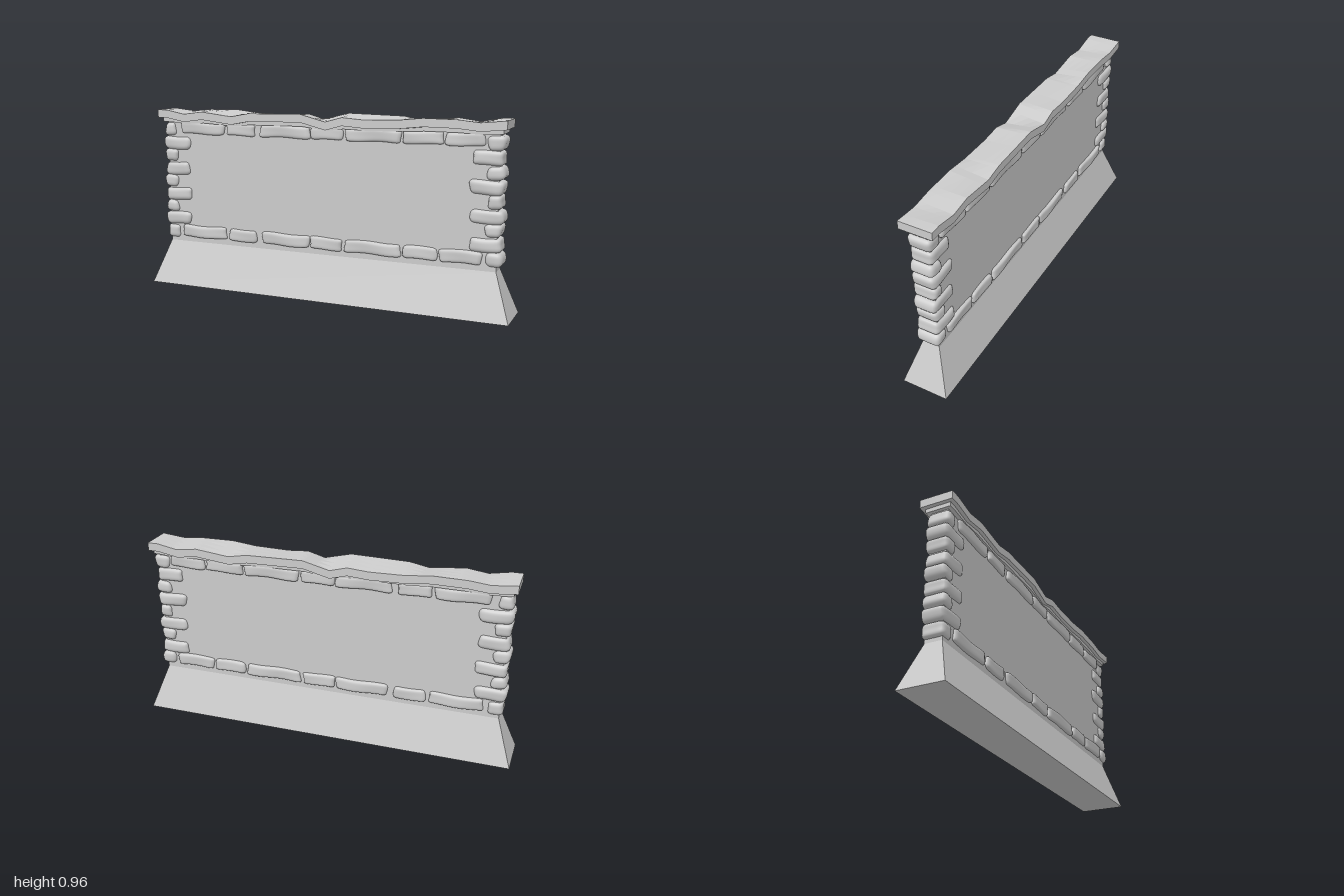
import * as THREE from 'three';
import { mergeVertices } from 'three/addons/utils/BufferGeometryUtils.js';

const material = new THREE.MeshStandardMaterial({ color: 0xcccccc });
const flatMaterial = new THREE.MeshStandardMaterial({ color: 0xcccccc, flatShading: true });

function addMesh(parent, name, geometry, mat = flatMaterial) {
  const mesh = new THREE.Mesh(geometry, mat);
  mesh.name = name;
  parent.add(mesh);
  return mesh;
}

// A rounded, slightly lumpy stone filling the given extents
function stoneGeometry(x0, x1, y0, y1, depth, radius, seed) {
  const half = new THREE.Vector3((x1 - x0) / 2, (y1 - y0) / 2, depth / 2);
  const nx = Math.max(8, Math.ceil((x1 - x0) / 0.018));
  let g = new THREE.BoxGeometry(half.x * 2, half.y * 2, half.z * 2, nx, 8, 10);
  g.deleteAttribute('uv');
  g.deleteAttribute('normal');
  g = mergeVertices(g);
  const inner = half.clone().subScalar(radius);
  const p = new THREE.Vector3(), core = new THREE.Vector3();
  const pos = g.attributes.position;
  for (let i = 0; i < pos.count; i++) {
    p.fromBufferAttribute(pos, i);
    core.copy(p).clamp(inner.clone().negate(), inner);
    p.sub(core).setLength(radius).add(core);
    // wavy long edges, worn ends and uneven faces
    const y = p.y;
    p.y += 0.003 * Math.sin(p.x * 24 + seed * 2.1);
    p.x += 0.004 * Math.sin(y * 60 + seed * 1.7) * (p.x / half.x);
    p.z *= 1 + 0.035 * Math.sin(p.x * 19 + y * 35 + seed);
    pos.setXYZ(i, p.x, p.y, p.z);
  }
  g.computeVertexNormals();
  g.translate((x0 + x1) / 2, (y0 + y1) / 2, 0);
  return g;
}

// Worn edge of the coping: [x, drop]
const wear = [
  [-0.96, 0], [-0.9, 0], [-0.79, -0.02], [-0.68, -0.005], [-0.5, -0.025],
  [-0.4, -0.006], [-0.1, 0], [0.04, -0.035], [0.13, -0.01], [0.24, -0.018],
  [0.42, -0.014], [0.55, 0], [0.72, -0.002], [0.83, -0.013], [0.96, 0],
];

function drop(x) {
  for (let i = 1; i < wear.length; i++) {
    const [xa, a] = wear[i - 1], [xb, b] = wear[i];
    if (x <= xb) return a + (b - a) * Math.max(0, (x - xa) / (xb - xa));
  }
  return 0;
}

// Slab whose front edge follows the wear and whose back edge follows it turned around
function slabGeometry(halfX, halfZ, top, thickness, amount) {
  const inside = wear.map(([x]) => x).filter((x) => Math.abs(x) < halfX - 0.01);
  const xs = [...new Set([-halfX, halfX, ...inside, ...inside.map((x) => -x)])].sort((a, b) => a - b);
  const columns = 4;
  const ring = (columns + 1) * 2;
  const vertices = [], index = [];
  for (const x of xs) {
    const at = (k) => {
      const t = k / columns;
      return [halfZ * (2 * t - 1), top + amount * (drop(-x) * (1 - t) + drop(x) * t)];
    };
    for (let k = 0; k <= columns; k++) { const [z, y] = at(k); vertices.push(x, y, z); }
    for (let k = columns; k >= 0; k--) { const [z, y] = at(k); vertices.push(x, y - thickness, z); }
  }
  for (let i = 0; i < xs.length - 1; i++) {
    for (let k = 0; k < ring; k++) {
      const a = i * ring + k, b = i * ring + (k + 1) % ring;
      index.push(a, b, b + ring, a, b + ring, a + ring);
    }
  }
  // end faces
  const last = (xs.length - 1) * ring;
  for (let k = 0; k < columns; k++) {
    const a = k, b = k + 1, c = ring - 2 - k, d = ring - 1 - k;
    index.push(a, c, b, a, d, c);
    index.push(last + a, last + b, last + c, last + a, last + c, last + d);
  }
  let g = new THREE.BufferGeometry();
  g.setAttribute('position', new THREE.Float32BufferAttribute(vertices, 3));
  g.setIndex(index);
  g = g.toNonIndexed();
  g.computeVertexNormals();
  return g;
}

export function createModel() {
  const wall = new THREE.Group();
  wall.name = 'stoneWall';

  // Flared footing
  const footing = new THREE.BoxGeometry(2, 0.235, 0.24).toNonIndexed();
  const fp = footing.attributes.position;
  for (let i = 0; i < fp.count; i++) {
    if (fp.getY(i) > 0) fp.setXYZ(i, Math.sign(fp.getX(i)) * 0.917, fp.getY(i), Math.sign(fp.getZ(i)) * 0.045);
  }
  footing.translate(0, 0.1175, 0);
  footing.computeVertexNormals();
  addMesh(wall, 'footing', footing);

  // Flat wall panel
  addMesh(wall, 'panel', new THREE.BoxGeometry(1.834, 0.685, 0.09)).position.y = 0.5675;

  // Corner stones, alternating short and long
  const levels = [0.255, 0.328, 0.4, 0.466, 0.537, 0.606, 0.679, 0.747, 0.82, 0.893];
  for (const side of [-1, 1]) {
    const corner = new THREE.Group();
    corner.name = side > 0 ? 'leftCornerStones' : 'rightCornerStones';
    for (let i = 0; i < levels.length - 1; i++) {
      const outer = side * (0.94 + 0.004 * Math.sin(i * 2.3 + side));
      const inner = side * ((i % 2 ? 0.78 : 0.86) + 0.006 * Math.sin(i * 1.9 + side));
      const g = stoneGeometry(Math.min(outer, inner), Math.max(outer, inner),
        levels[i], levels[i + 1], 0.121, 0.024, i * 1.3 + side);
      addMesh(corner, 'cornerStone', g, material);
    }
    wall.add(corner);
  }

  // Stone courses along the bottom and the top, running through the wall
  const courses = {
    bottomCourse: [0.263, 0.328, [[-0.835, -0.56], [-0.54, -0.378], [-0.34, -0.066], [-0.06, 0.118],
      [0.132, 0.435], [0.45, 0.622], [0.635, 0.845]]],
    topCourse: [0.836, 0.9, [[-0.83, -0.562], [-0.548, -0.378], [-0.347, -0.06], [-0.053, 0.12],
      [0.135, 0.43], [0.438, 0.645], [0.655, 0.845]]],
  };
  for (const [name, [y0, y1, spans]] of Object.entries(courses)) {
    const course = new THREE.Group();
    course.name = name;
    spans.forEach(([x0, x1], i) => {
      addMesh(course, 'courseStone', stoneGeometry(x0, x1, y0, y1, 0.124, 0.014, i * 2.7 + y0 * 9), material);
    });
    wall.add(course);
  }

  // Worn coping on a narrower bed
  addMesh(wall, 'copingBed', slabGeometry(0.935, 0.066, 0.926, 0.026, 0.5));
  addMesh(wall, 'coping', slabGeometry(0.955, 0.086, 0.964, 0.042, 1));
  return wall;
}
